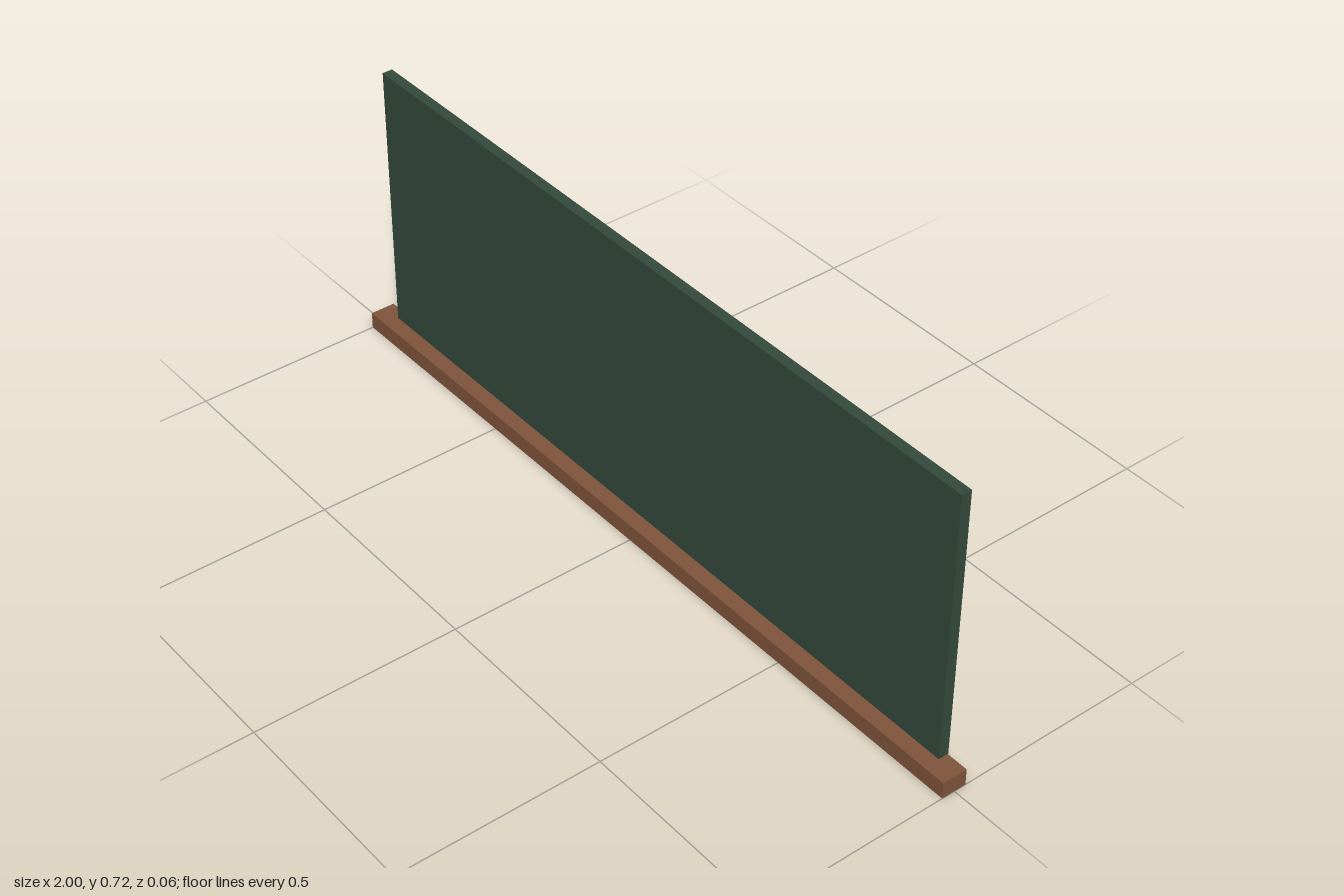
import * as THREE from 'three';

// Box given by its minimum and maximum corners
function slab(name, color, [x0, y0, z0], [x1, y1, z1]) {
  const mesh = new THREE.Mesh(
    new THREE.BoxGeometry(x1 - x0, y1 - y0, z1 - z0),
    new THREE.MeshStandardMaterial({ color })
  );
  mesh.position.set((x0 + x1) / 2, (y0 + y1) / 2, (z0 + z1) / 2);
  mesh.name = name;
  return mesh;
}

export function createModel() {
  const group = new THREE.Group();
  group.name = 'chalkboard';

  // Green writing panel, set at the back of the ledge
  group.add(slab('writingPanel', 0x34493c, [-0.945, 0.038, -0.0315], [0.945, 0.722, -0.006]));

  // Wooden chalk ledge, wider than the panel
  group.add(slab('chalkLedge', 0x80553c, [-1, 0, -0.03], [1, 0.042, 0.0325]));

  return group;
}
